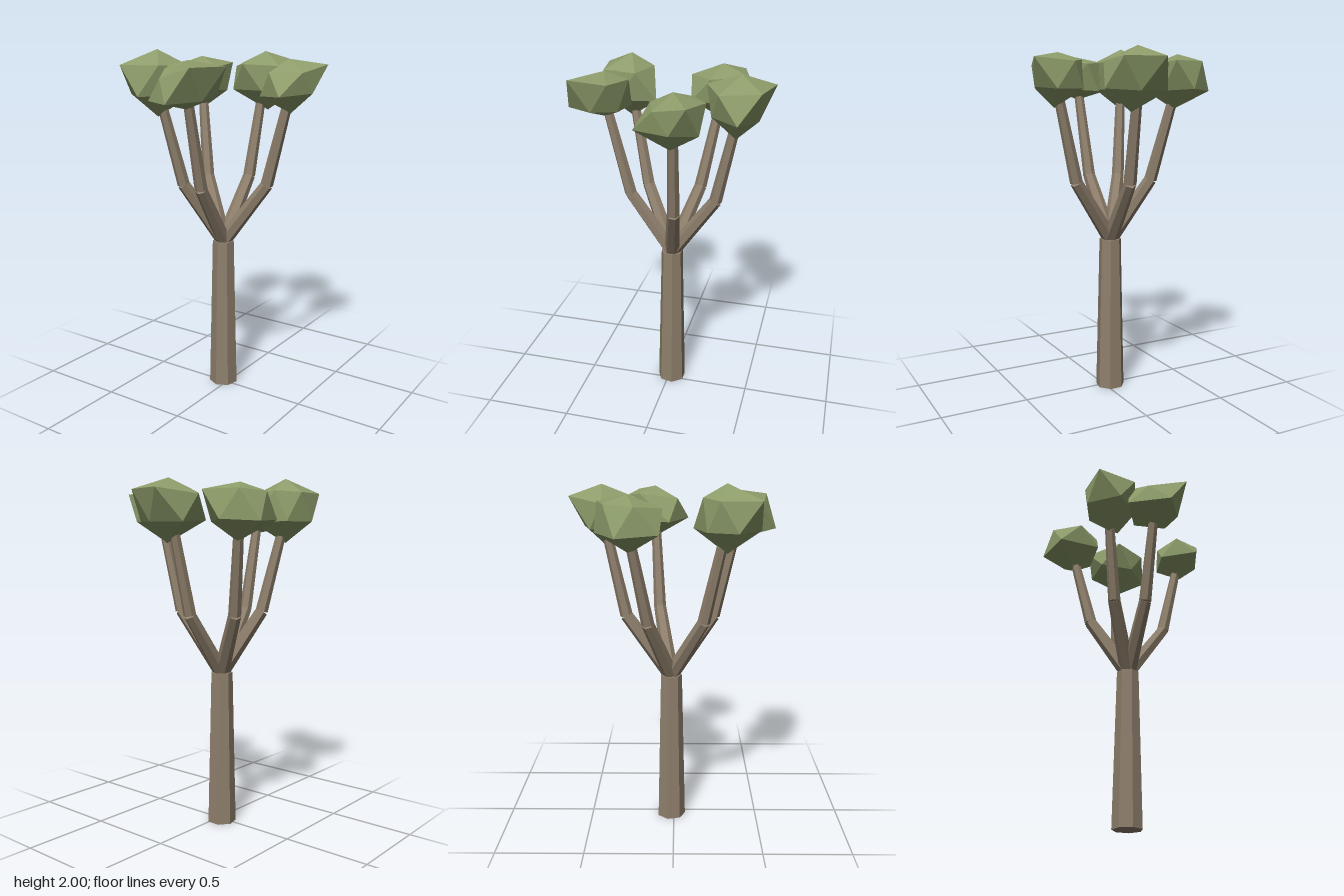
import * as THREE from 'three';

const bark = new THREE.MeshStandardMaterial({ color: 0x8e7f6c, flatShading: true });
bark.name = 'bark brown';
const leaf = new THREE.MeshStandardMaterial({ color: 0x8d9c6a, flatShading: true });
leaf.name = 'leaf green';

const fork = new THREE.Vector3(-0.035, 0.9, -0.017);

// Tapered limb running between two points
function limb(name, from, to, r0, r1, sides) {
  const dir = new THREE.Vector3().subVectors(to, from);
  const geo = new THREE.CylinderGeometry(r1, r0, dir.length(), sides);
  const mesh = new THREE.Mesh(geo, bark);
  mesh.name = name;
  mesh.position.addVectors(from, to).multiplyScalar(0.5);
  mesh.quaternion.setFromUnitVectors(new THREE.Vector3(0, 1, 0), dir.normalize());
  return mesh;
}

// Irregular twenty-sided leaf clump: top point, two staggered rings of five, bottom point
function clump({ top, upper, lower, bottom }) {
  const pos = [];
  for (let i = 0; i < 5; i++) {
    const j = (i + 1) % 5;
    pos.push(...top, ...upper[i], ...upper[j]);
    pos.push(...upper[i], ...lower[i], ...upper[j]);
    pos.push(...lower[i], ...lower[j], ...upper[j]);
    pos.push(...lower[i], ...bottom, ...lower[j]);
  }
  const geo = new THREE.BufferGeometry();
  geo.setAttribute('position', new THREE.Float32BufferAttribute(pos, 3));
  geo.computeVertexNormals();
  const mesh = new THREE.Mesh(geo, leaf);
  mesh.name = 'leafClump';
  return mesh;
}

// Each bough: elbow and tip of the branch, then its leaf clump
const backBough = {
  name: 'backBough', elbow: [-0.02, 1.25, -0.27], tip: [0.0, 1.75, -0.38],
  top: [0.01, 1.98, -0.395], bottom: [0.04, 1.64, -0.38],
  upper: [[0.16, 1.92, -0.52], [-0.06, 1.92, -0.57], [-0.185, 1.89, -0.38], [-0.03, 1.91, -0.205], [0.16, 1.9, -0.3]],
  lower: [[0.05, 1.75, -0.5], [-0.14, 1.75, -0.45], [-0.13, 1.76, -0.26], [0.07, 1.76, -0.25], [0.21, 1.76, -0.41]],
};
const rightBackBough = {
  name: 'rightBackBough', elbow: [-0.23, 1.25, -0.14], tip: [-0.33, 1.75, -0.23],
  top: [-0.34, 1.95, -0.235], bottom: [-0.32, 1.65, -0.23],
  upper: [[-0.225, 1.91, -0.4], [-0.425, 1.91, -0.35], [-0.48, 1.9, -0.195], [-0.335, 1.88, -0.055], [-0.19, 1.89, -0.19]],
  lower: [[-0.34, 1.76, -0.405], [-0.515, 1.75, -0.29], [-0.455, 1.76, -0.07], [-0.215, 1.76, -0.08], [-0.2, 1.75, -0.3]],
};
const leftBough = {
  name: 'leftBough', elbow: [0.215, 1.25, -0.085], tip: [0.335, 1.75, -0.11],
  top: [0.33, 1.95, -0.11], bottom: [0.35, 1.66, -0.1],
  upper: [[0.51, 1.92, -0.215], [0.305, 1.9, -0.27], [0.235, 1.91, -0.2], [0.28, 1.88, 0.02], [0.45, 1.88, -0.035]],
  lower: [[0.4, 1.76, -0.257], [0.24, 1.76, -0.23], [0.195, 1.75, -0.03], [0.38, 1.76, 0.085], [0.47, 1.77, -0.12]],
};
const rightFrontBough = {
  name: 'rightFrontBough', elbow: [-0.185, 1.25, 0.165], tip: [-0.26, 1.75, 0.27],
  top: [-0.265, 2.0, 0.275], bottom: [-0.265, 1.64, 0.28],
  upper: [[-0.11, 1.92, 0.215], [-0.28, 1.93, 0.15], [-0.4, 1.92, 0.235], [-0.38, 1.92, 0.45], [-0.15, 1.92, 0.41]],
  lower: [[-0.15, 1.76, 0.105], [-0.35, 1.76, 0.17], [-0.41, 1.76, 0.33], [-0.255, 1.76, 0.46], [-0.12, 1.76, 0.33]],
};
const frontBough = {
  name: 'frontBough', elbow: [-0.02, 1.25, 0.225], tip: [-0.01, 1.76, 0.35],
  top: [0.0, 1.95, 0.355], bottom: [-0.01, 1.7, 0.36],
  upper: [[0.186, 1.92, 0.28], [-0.01, 1.91, 0.22], [-0.16, 1.92, 0.33], [-0.09, 1.86, 0.48], [0.13, 1.92, 0.52]],
  lower: [[0.1, 1.76, 0.25], [-0.09, 1.75, 0.23], [-0.2, 1.74, 0.44], [0.01, 1.74, 0.565], [0.12, 1.75, 0.4]],
};

export function createModel() {
  const tree = new THREE.Group();
  tree.name = 'tree';

  // Seven-sided tapering trunk
  tree.add(limb('trunk', new THREE.Vector3(fork.x, 0, fork.z), fork, 0.085, 0.064, 7));

  // Five bent branches, each carrying a clump
  for (const b of [backBough, rightBackBough, leftBough, rightFrontBough, frontBough]) {
    const bough = new THREE.Group();
    bough.name = b.name;
    const elbow = new THREE.Vector3(...b.elbow);
    const tip = new THREE.Vector3(...b.tip);
    bough.add(limb('lowerBranch', fork, elbow, 0.045, 0.036, 6));
    bough.add(limb('upperBranch', elbow, tip, 0.036, 0.027, 6));
    bough.add(clump(b));
    tree.add(bough);
  }
  return tree;
}
